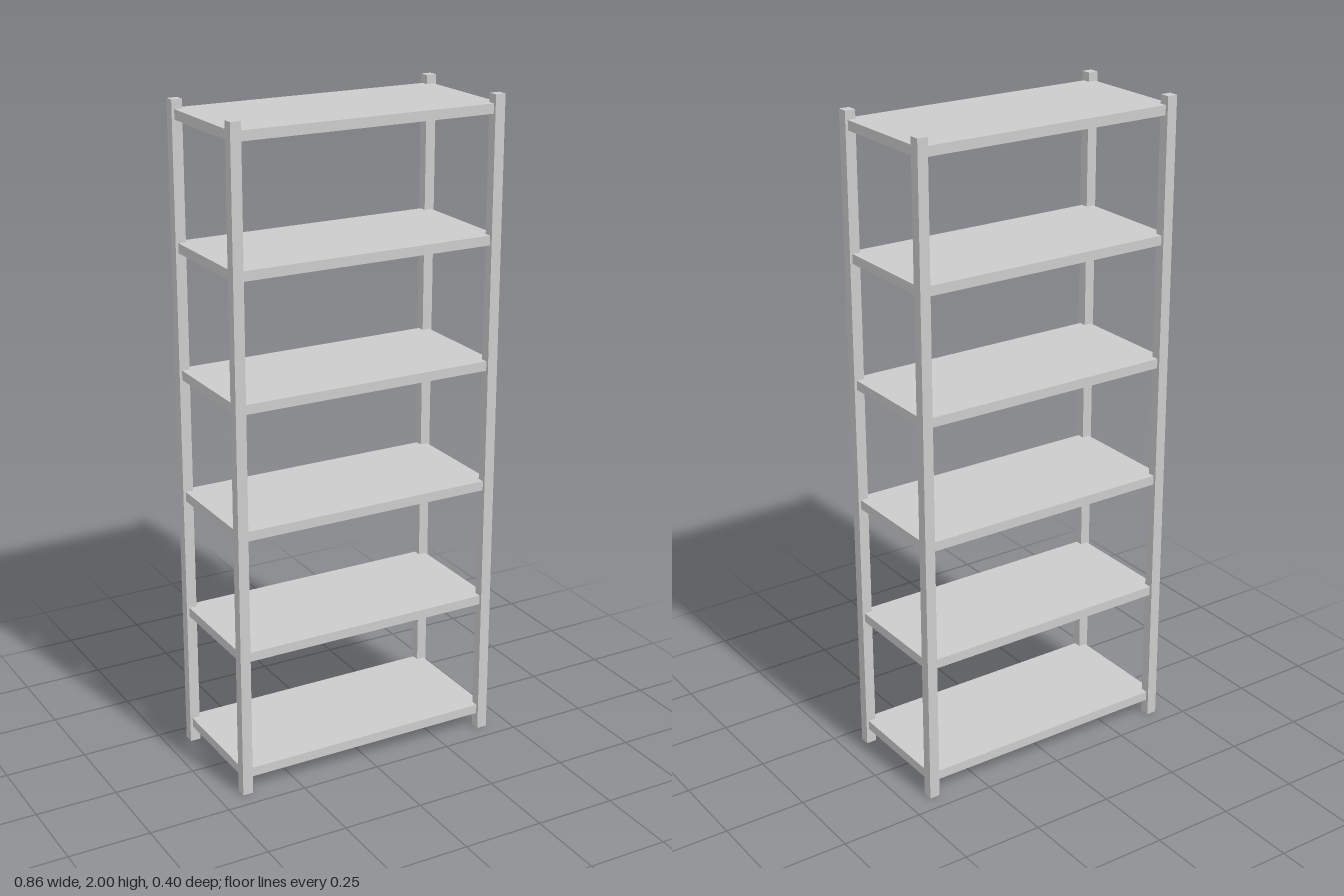
import * as THREE from 'three';

export function createModel() {
  const group = new THREE.Group();
  const material = new THREE.MeshStandardMaterial({ color: 0xcccccc });

  function box(name, w, h, d, x, y, z) {
    const mesh = new THREE.Mesh(new THREE.BoxGeometry(w, h, d), material);
    mesh.name = name;
    mesh.position.set(x, y, z);
    group.add(mesh);
  }

  // Four square corner posts
  for (const [side, x] of [['Left', 0.412], ['Right', -0.412]]) {
    for (const [end, z] of [['front', 0.183], ['back', -0.183]]) {
      box(`${end}${side}Post`, 0.032, 2, 0.032, x, 1, z);
    }
  }

  // Six evenly spaced shelves, let into the posts
  const shelfCount = 6, bottom = 0.064, spacing = 0.379;
  for (let i = 0; i < shelfCount; i++) {
    box(`shelf${i + 1}`, 0.84, 0.029, 0.38, 0, bottom + i * spacing, 0);
  }

  return group;
}
